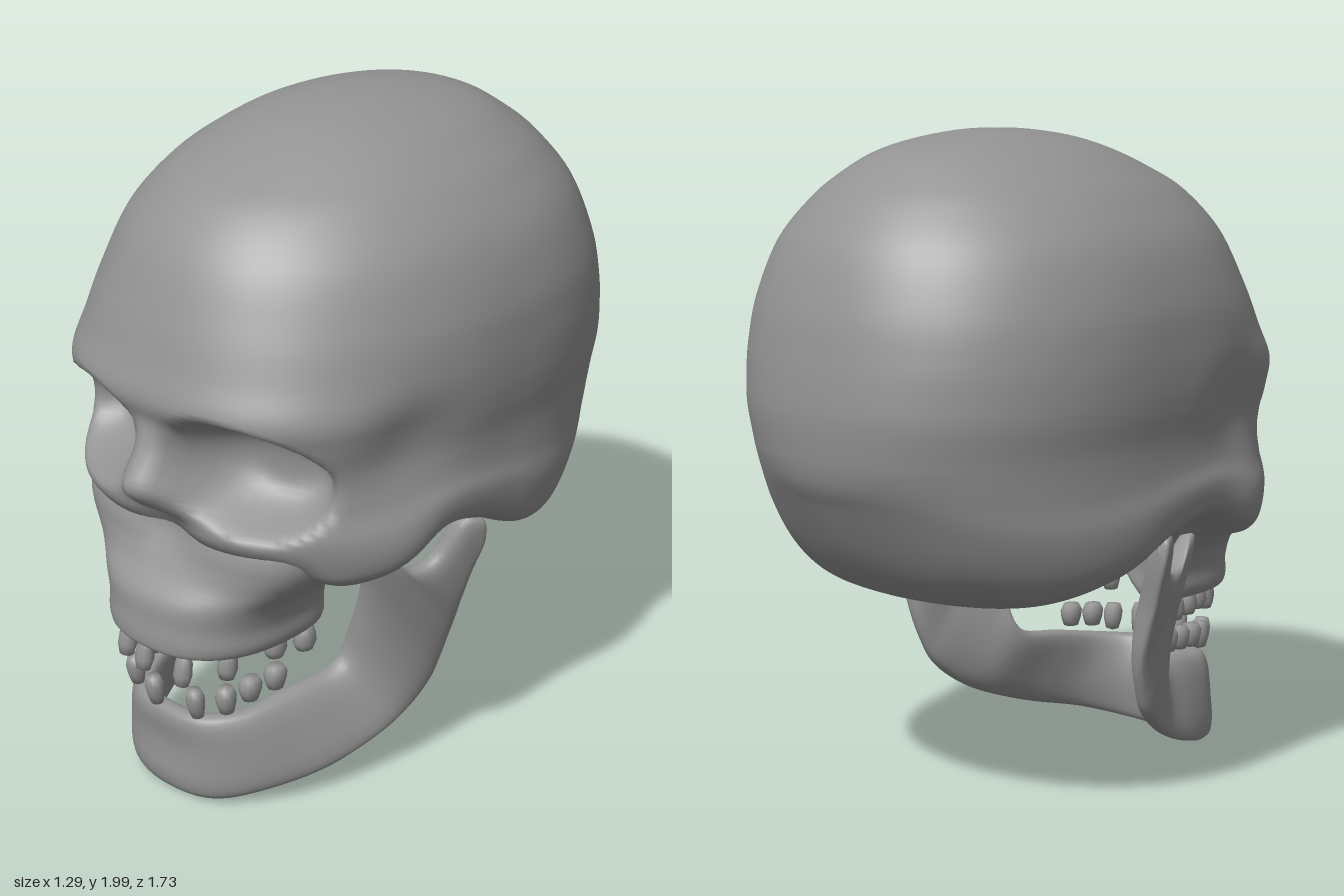
import * as THREE from 'three';

const material = new THREE.MeshStandardMaterial({ color: 0x939393 });
const { smoothstep, lerp, clamp } = THREE.MathUtils;
const bell = (v, centre, width) => Math.exp(-(((v - centre) / width) ** 2));
const spow = (v, p) => Math.sign(v) * Math.abs(v) ** p;

// Smooth row of section values at position u along the list of rows
function sampleRow(rows, u) {
  const i = Math.min(Math.floor(u), rows.length - 2), t = u - i;
  const at = (k) => rows[clamp(k, 0, rows.length - 1)];
  return rows[i].map((p1, c) => {
    const p0 = at(i - 1)[c], p2 = at(i + 1)[c], p3 = at(i + 2)[c];
    return p1 + 0.5 * t * (p2 - p0 + t * (2 * p0 - 5 * p1 + 4 * p2 - p3 + t * (3 * (p1 - p2) + p3 - p0)));
  });
}

// Smooth curve through heights spaced evenly from a start
function heightAt(heights, start, spacing, v) {
  return sampleRow(heights, clamp((v - start) / spacing, 0, heights.length - 1))[0];
}

// Skin closed loops: point(row, angle) gives one corner of a loop
function loft(name, rows, steps, segments, point) {
  const positions = [], index = [];
  const count = (rows.length - 1) * steps;
  for (let i = 0; i <= count; i++) {
    const row = sampleRow(rows, i / steps);
    for (let j = 0; j < segments; j++) {
      positions.push(...point(row, (j / segments) * Math.PI * 2));
      if (i === count) continue;
      const a = i * segments + j, b = i * segments + ((j + 1) % segments);
      index.push(a, a + segments, b + segments, a, b + segments, b);
    }
  }
  const geometry = new THREE.BufferGeometry();
  geometry.setAttribute('position', new THREE.Float32BufferAttribute(positions, 3));
  geometry.setIndex(index);
  geometry.computeVertexNormals();
  const mesh = new THREE.Mesh(geometry, material);
  mesh.name = name;
  return mesh;
}

// Point on a horizontal rounded outline with its own front and back lengths
function outline(w, zFront, zBack, zMid, nFront, nBack, a) {
  const s = Math.abs(Math.sin(a)), c = Math.cos(a);
  const n = c > 0 ? nFront : nBack;
  const depth = Math.max(0.001, c > 0 ? zFront - zMid : zMid - zBack);
  const r = ((s / Math.max(0.001, w)) ** n + (Math.abs(c) / depth) ** n) ** (-1 / n);
  return [r * Math.sin(a), zMid + r * c];
}

// Height of the skull base every 0.2 from z = -0.8
const BASE = [0.83, 0.695, 0.66, 0.72, 0.82, 0.862, 0.765, 0.738, 0.735].map((v) => [v]);
// Nose ridge height every 0.06 from y = 0.93
const NOSE = [0, 0.075, 0.125, 0.095, 0.05, 0.01, 0].map((v) => [v]);

// Rows: level, half width, front z, back z, squareness of the front and back
const CRANIUM = [
  [2.0, 0, -0.1, -0.1, 2.1, 2.1],
  [1.995, 0.1, 0.01, -0.22, 2.1, 2.1],
  [1.972, 0.2, 0.16, -0.38, 2.1, 2.1],
  [1.935, 0.3, 0.28, -0.5, 2.1, 2.1],
  [1.88, 0.39, 0.41, -0.59, 2.1, 2.1],
  [1.81, 0.475, 0.54, -0.675, 2.1, 2.1],
  [1.69, 0.57, 0.65, -0.765, 2.15, 2.15],
  [1.53, 0.627, 0.725, -0.825, 2.25, 2.2],
  [1.4, 0.642, 0.768, -0.85, 2.45, 2.25],
  [1.3, 0.643, 0.797, -0.862, 2.7, 2.25],
  [1.22, 0.637, 0.77, -0.865, 2.8, 2.25],
  [1.12, 0.624, 0.745, -0.855, 2.8, 2.2],
  [1.0, 0.625, 0.745, -0.835, 2.8, 2.1],
  [0.9, 0.637, 0.755, -0.8, 2.8, 2.0],
  [0.8, 0.63, 0.74, -0.755, 2.8, 1.85],
  [0.73, 0.61, 0.72, -0.705, 2.8, 1.7],
  [0.685, 0.56, 0.68, -0.635, 2.8, 1.65],
  [0.66, 0.46, 0.6, -0.54, 2.6, 1.7],
  [0.64, 0.25, 0.3, -0.35, 2.2, 2],
  [0.62, 0, -0.1, -0.1, 2.1, 2.1],
];

function craniumPoint([level, w, zf, zb, nf, nb], a) {
  let [x, z] = outline(w, zf, zb, -0.1, nf, nb, a);
  const base = heightAt(BASE, -0.8, 0.2, z);
  let y = level < 1.1 ? level + ((1.1 - level) / 0.44) * (base - 0.66) : level;
  // the middle of the base hangs a little lower
  y -= 0.05 * (1 - smoothstep(level, 0.63, 0.69)) * bell(z, 0.15, 0.15);
  const side = Math.abs(x);
  // cheekbone swells outward, temple sinks in
  const sway = 0.032 * bell(y, 0.86, 0.13) * bell(z, 0.37, 0.17) - 0.035 * bell(y, 1.2, 0.14) * bell(z, 0.33, 0.16);
  x += Math.sign(x) * sway * smoothstep(side, 0.3, 0.5);
  if (z > 0.2) {
    // eye socket
    const q = (Math.abs(side - 0.285) / 0.22) ** 2.3 + (Math.abs(y - 1.115 + 0.12 * (side - 0.28)) / 0.18) ** 2.3;
    const socket = 1 - smoothstep(q, 0, 1.08);
    // nose bridge, the hollow beneath it, and the face tapering in behind the upper jaw
    const nose = heightAt(NOSE, 0.93, 0.06, y) * bell(x, 0, lerp(0.11, 0.05, smoothstep(y, 0.98, 1.2)));
    const hollow = 0.045 * bell(x, 0, 0.11) * bell(y, 0.89, 0.07);
    const tuck = 0.1 * (1 - smoothstep(y, 0.75, 0.92)) * (1 - smoothstep(side, 0.36, 0.5));
    z += nose - hollow - tuck - 0.19 * socket;
  }
  return [x, y, z];
}

// Rows: level, half width, front z, back z, squareness of the front
const UPPER_JAW = [
  [0.95, 0.4, 0.66, 0.2, 2.8],
  [0.9, 0.45, 0.708, 0.06, 2.8],
  [0.85, 0.45, 0.728, 0.1, 2.8],
  [0.8, 0.43, 0.738, 0.22, 2.7],
  [0.75, 0.39, 0.762, 0.28, 2.5],
  [0.69, 0.33, 0.812, 0.285, 2.4],
  [0.62, 0.302, 0.822, 0.28, 2.4],
  [0.56, 0.3, 0.828, 0.28, 2.4],
  [0.53, 0.275, 0.815, 0.3, 2.4],
  [0.55, 0.21, 0.74, 0.34, 2.3],
  [0.62, 0.13, 0.64, 0.4, 2.2],
  [0.65, 0, 0.5, 0.5, 2.2],
];

function upperJawPoint([level, w, zf, zb, n], a) {
  const [x, z] = outline(w, zf, zb, 0.5, n, 3.2, a);
  // lower half of the nose opening
  const hollow = z > 0.5 ? 0.03 * bell(x, 0, 0.11) * bell(level, 0.86, 0.06) : 0;
  // arch of the palate, open toward the back
  const arch = (1 - smoothstep(z, 0.28, 0.55)) * (1 - smoothstep(Math.abs(x), 0.1, 0.25));
  const y = level + 0.7 * Math.max(0, 0.8 - level) * arch;
  return [x, y, z - hollow];
}

// Half of the lower jaw from chin to joint: top x y z, bottom x y z, thickness
const JAW_HALF = [
  [0, 0.3, 0.73, 0, 0.008, 0.715, 0.085],
  [0.12, 0.3, 0.71, 0.15, 0.02, 0.69, 0.085],
  [0.2, 0.31, 0.62, 0.265, 0.055, 0.58, 0.085],
  [0.24, 0.335, 0.48, 0.345, 0.09, 0.42, 0.085],
  [0.285, 0.37, 0.31, 0.395, 0.15, 0.25, 0.085],
  [0.335, 0.52, 0.285, 0.42, 0.21, 0.145, 0.085],
  [0.38, 0.66, 0.295, 0.435, 0.275, 0.075, 0.085],
  [0.41, 0.785, 0.325, 0.445, 0.34, 0.04, 0.08],
  [0.425, 0.78, 0.28, 0.455, 0.41, 0.015, 0.08],
  [0.45, 0.705, 0.2, 0.468, 0.48, 0.003, 0.085],
  [0.48, 0.715, 0.11, 0.485, 0.55, 0, 0.085],
  [0.535, 0.835, 0.055, 0.51, 0.63, -0.002, 0.08],
  [0.557, 0.84, 0, 0.545, 0.74, -0.015, 0.07],
  [0.555, 0.81, -0.015, 0.555, 0.805, -0.018, 0.005],
].map((r, i) => [...r, (Math.PI / 2) * Math.min(1, i / 4) ** 0.6]);

const mirrorRow = ([xt, yt, zt, xb, yb, zb, t, turn]) => [-xt, yt, zt, -xb, yb, zb, t, -turn];

function lowerJawPoint([xt, yt, zt, xb, yb, zb, thick, turn], a) {
  const up = 0.5 - 0.5 * spow(Math.cos(a), 0.7);
  const out = 0.5 * thick * spow(Math.sin(a), 0.65);
  const x = lerp(xb, xt, up) + out * Math.sin(turn), y = lerp(yb, yt, up);
  const z = lerp(zb, zt, up) + out * Math.cos(turn);
  // groove above the chin
  return [x, y, z - 0.02 * bell(y, 0.17, 0.07) * bell(x, 0, 0.2)];
}

// Tooth places as [x, z]; gaps are missing teeth
const UPPER_TEETH = [[-0.03, 0.79], [-0.13, 0.765], [-0.19, 0.68], [-0.22, 0.6], [-0.245, 0.52], [-0.262, 0.435],
  [-0.27, 0.35], [0.12, 0.78], [0.2, 0.68], [0.235, 0.52], [0.268, 0.43]];
const LOWER_TEETH = [[-0.025, 0.76], [-0.15, 0.72], [-0.18, 0.67], [-0.205, 0.595], [-0.225, 0.51], [-0.245, 0.425],
  [-0.265, 0.335], [0.12, 0.735], [0.18, 0.67], [0.205, 0.595], [0.225, 0.51]];

function makeTeeth(name, places, upper) {
  const group = new THREE.Group();
  group.name = name;
  const profile = [[0, -0.5], [0.36, -0.46], [0.5, -0.2], [0.46, 0.1], [0.34, 0.42], [0, 0.5]];
  const geometry = new THREE.LatheGeometry(profile.map(([x, y]) => new THREE.Vector2(x, y)), 10);
  for (const [x, z] of places) {
    const back = smoothstep(z, 0.6, 0.74);
    const tooth = new THREE.Mesh(geometry, material);
    tooth.name = 'tooth';
    const y = upper ? lerp(0.507, 0.49, back) : lerp(0.36 + (0.7 - z) * 0.13, 0.35, back);
    tooth.position.set(x, y, z);
    tooth.scale.set(lerp(0.065, 0.06, back), lerp(upper ? 0.09 : 0.08, upper ? 0.12 : 0.105, back), lerp(0.078, 0.055, back));
    // front teeth lean outward
    tooth.rotation.x = upper ? -0.15 * back : Math.PI + 0.15 * back;
    group.add(tooth);
  }
  return group;
}

export function createModel() {
  const model = new THREE.Group();
  model.name = 'skull';
  const jawRows = [...JAW_HALF.slice(1).reverse().map(mirrorRow), ...JAW_HALF];
  model.add(
    loft('cranium', CRANIUM, 6, 168, craniumPoint),
    loft('upperJaw', UPPER_JAW, 4, 72, upperJawPoint),
    loft('lowerJaw', jawRows, 5, 28, lowerJawPoint),
    makeTeeth('upperTeeth', UPPER_TEETH, true),
    makeTeeth('lowerTeeth', LOWER_TEETH, false),
  );
  return model;
}
